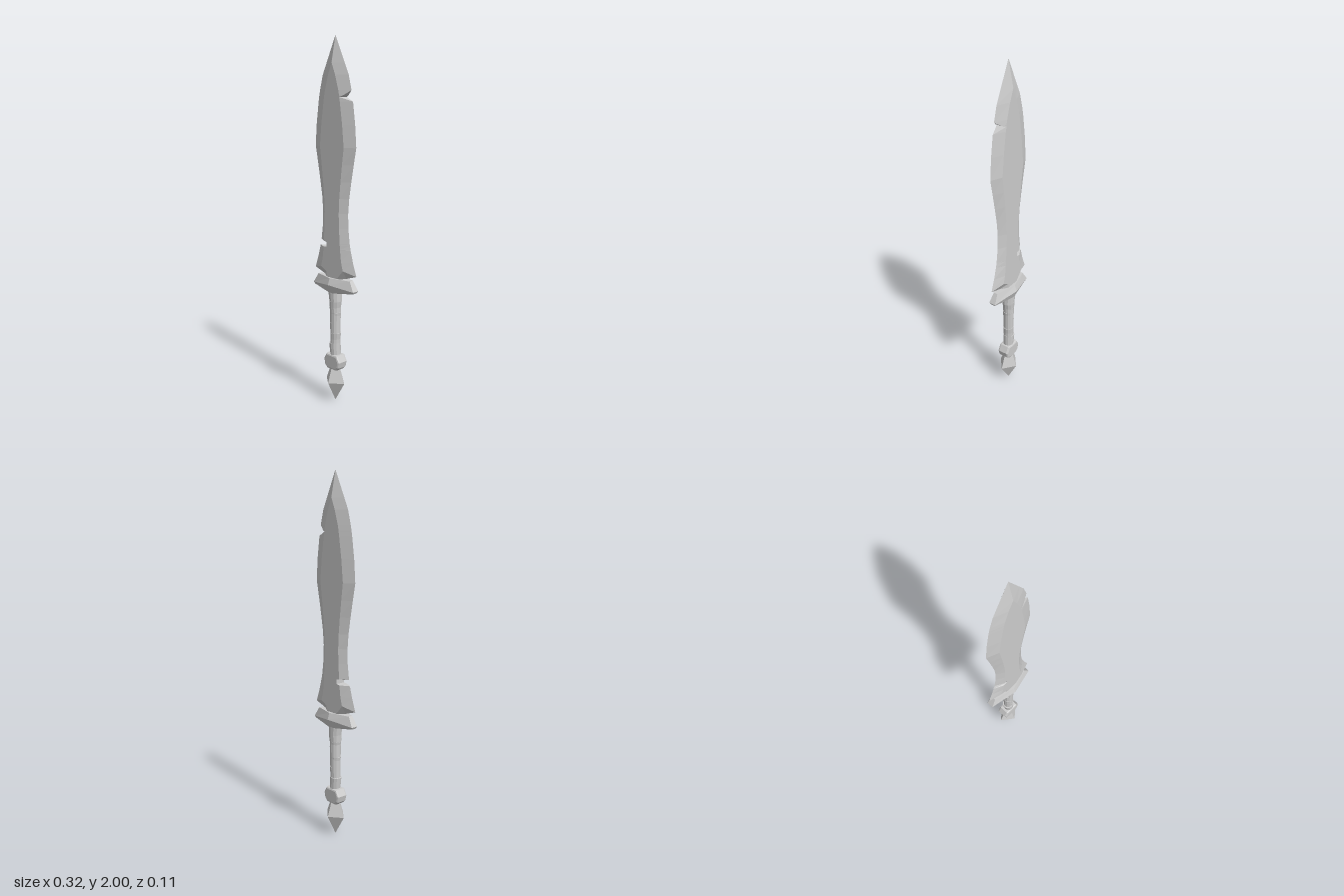
import * as THREE from 'three';

const material = new THREE.MeshStandardMaterial({ color: 0xcccccc, flatShading: true });

// Skin through rings of [x, y, z]; each ring runs left to right along the front, then back again.
function loft(rings) {
  const pos = [];
  const tri = (a, b, c) => {
    const [p, q, r] = [a, b, c].map((v) => new THREE.Vector3(...v));
    if (q.sub(p).cross(r.sub(p)).length() > 1e-8) pos.push(...a, ...b, ...c);
  };
  const quad = (a, b, c, d) => { tri(a, b, c); tri(a, c, d); };
  const n = rings[0].length;
  for (let j = 0; j < rings.length - 1; j++) {
    for (let i = 0; i < n; i++) {
      const k = (i + 1) % n;
      quad(rings[j][i], rings[j][k], rings[j + 1][k], rings[j + 1][i]);
    }
  }
  // caps stitch the front half of the ring to the back half
  const lo = rings[0], hi = rings[rings.length - 1];
  for (let i = 0; i < n / 2 - 1; i++) {
    quad(hi[i], hi[i + 1], hi[n - 2 - i], hi[n - 1 - i]);
    quad(lo[n - 1 - i], lo[n - 2 - i], lo[i + 1], lo[i]);
  }
  const geo = new THREE.BufferGeometry();
  geo.setAttribute('position', new THREE.Float32BufferAttribute(pos, 3));
  geo.computeVertexNormals();
  return geo;
}

const withBack = (front) => [...front, ...front.map(([x, y, z]) => [x, y, -z]).reverse()];
const mirrorX = (half) => [...half.map(([x, y, z]) => [-x, y, z]), ...half.slice().reverse()];

function add(parent, name, geometry, y = 0) {
  const mesh = new THREE.Mesh(geometry, material);
  mesh.name = name;
  mesh.position.y = y;
  parent.add(mesh);
  return mesh;
}

// Blade: flat centre, sharp bevelled edges, one notch on each side
function bladeGeometry() {
  const T = 0.028;
  const row = ([y, edge, ridge, cutL = edge, cutR = edge]) => {
    const side = (cut) => {
      const z = cut >= edge ? 0 : T * Math.min(1, (edge - cut) / (edge - ridge));
      return [[cut, y, z], [Math.min(ridge, cut), y, T], [ridge * 0.5, y, T]];
    };
    const left = side(cutL).map(([x, h, z]) => [-x, h, z]);
    return withBack([...left, ...side(cutR).reverse()]);
  };
  const rows = [ // height, edge, ridge, cut on -x, cut on +x
    [0.82, 0.135, 0.072],
    [0.884, 0.117, 0.064],
    [0.887, 0.116, 0.064, 0.04],
    [0.912, 0.111, 0.062, 0.04],
    [0.917, 0.11, 0.062],
    [1.0, 0.099, 0.056],
    [1.08, 0.097, 0.054],
    [1.16, 0.104, 0.058],
    [1.25, 0.119, 0.067],
    [1.34, 0.136, 0.078],
    [1.43, 0.154, 0.09],
    [1.55, 0.145, 0.078],
    [1.665, 0.129, 0.061],
    [1.688, 0.125, 0.057, undefined, 0.055],
    [1.695, 0.124, 0.056, undefined, 0.075],
    [1.722, 0.118, 0.05],
    [1.80, 0.097, 0.026],
    [1.86, 0.068, 0.001],
    [2.0, 0, 0],
  ].map(row);
  rows[rows.length - 1].forEach((p) => { p[2] = 0; });
  // swept lower corners with a slanted underside
  const heel = withBack(mirrorX([[0.16, 0.75, 0], [0.085, 0.772, T], [0.042, 0.748, T]]));
  const foot = withBack(mirrorX([[0.16, 0.75, 0], [0.085, 0.725, 0], [0.035, 0.715, T]]));
  return loft([foot, heel, ...rows]);
}

// Guard: three six-sided rings, drooping toward the ends
function guardGeometry() {
  const ring = (x, endY, endZ, midY, midZ) =>
    withBack([[-x, endY, endZ], [0, midY, midZ], [x, endY, endZ]]);
  return loft([
    ring(0.148, 0.654, 0.014, 0.633, 0.036),
    ring(0.155, 0.666, 0.02, 0.684, 0.057),
    ring(0.123, 0.72, 0.012, 0.72, 0.044),
  ]);
}

// Collar: rounded octagonal block facing front and back
function collarGeometry() {
  const shape = new THREE.Shape([
    [-0.03, -0.034], [0.03, -0.034], [0.044, -0.021], [0.05, 0.006],
    [0.035, 0.034], [-0.035, 0.034], [-0.05, 0.006], [-0.044, -0.021],
  ].map(([x, y]) => new THREE.Vector2(x, y)));
  const geo = new THREE.ExtrudeGeometry(shape, {
    depth: 0.048, bevelSize: 0.01, bevelThickness: 0.01, bevelSegments: 2,
  });
  return geo.translate(0, 0, -0.024);
}

export function createModel() {
  const sword = new THREE.Group();
  sword.name = 'sword';
  add(sword, 'blade', bladeGeometry());
  add(sword, 'guard', guardGeometry());

  // Grip: core with overlapping, slightly tilted wrap bands
  const grip = new THREE.Group();
  grip.name = 'grip';
  sword.add(grip);
  add(grip, 'gripCore', new THREE.CylinderGeometry(0.033, 0.027, 0.4, 12), 0.45);
  const bands = [ // bottom, top, radius
    [0.26, 0.34, 0.031], [0.34, 0.40, 0.029], [0.40, 0.46, 0.028], [0.46, 0.52, 0.029],
    [0.52, 0.55, 0.031], [0.55, 0.585, 0.034], [0.585, 0.645, 0.037],
  ];
  bands.forEach(([lo, hi, r], i) => {
    const band = add(grip, 'wrapBand',
      new THREE.CylinderGeometry(r + 0.002, r - 0.002, hi - lo + 0.006, 12), (lo + hi) / 2);
    band.rotation.z = i % 2 ? -0.06 : 0.08;
  });

  add(sword, 'collar', collarGeometry(), 0.234);

  // Pommel: four-sided spike, a little flattened front to back
  const pommel = new THREE.Group();
  pommel.name = 'pommel';
  pommel.scale.z = 0.8;
  sword.add(pommel);
  add(pommel, 'pommelTop', new THREE.CylinderGeometry(0.036, 0.071, 0.085, 4), 0.1575);
  add(pommel, 'pommelSpike', new THREE.CylinderGeometry(0.071, 0, 0.115, 4), 0.0575);
  return sword;
}
